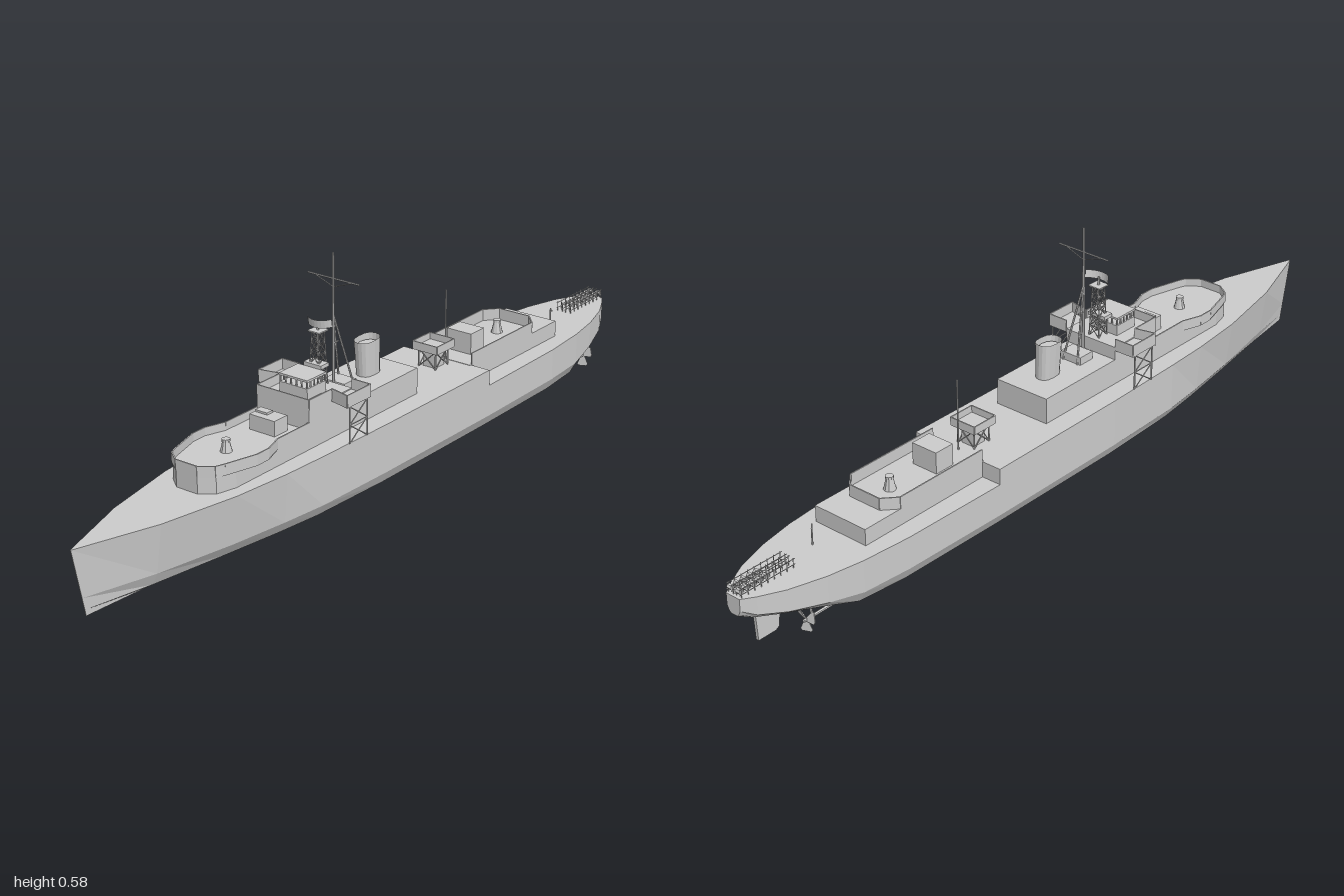
import * as THREE from 'three';

const mat = new THREE.MeshStandardMaterial({ color: 0xcccccc, flatShading: true, side: THREE.DoubleSide });
const V = (x, y, z) => new THREE.Vector3(x, y, z);

function add(parent, name, geo, x = 0, y = 0, z = 0) {
  const m = new THREE.Mesh(geo, mat);
  m.name = name;
  m.position.set(x, y, z);
  parent.add(m);
  return m;
}
function group(parent, name) {
  const g = new THREE.Group();
  g.name = name;
  parent.add(g);
  return g;
}
// box given by its extents
function block(parent, name, x0, x1, y0, y1, z0, z1) {
  return add(parent, name, new THREE.BoxGeometry(x1 - x0, y1 - y0, z1 - z0), (x0 + x1) / 2, (y0 + y1) / 2, (z0 + z1) / 2);
}
// round bar between two points
function bar(parent, name, a, b, r = 0.0015, r2 = r) {
  const d = b.clone().sub(a);
  const m = add(parent, name, new THREE.CylinderGeometry(r2, r, d.length(), 6));
  m.position.copy(a).add(b).multiplyScalar(0.5);
  m.quaternion.setFromUnitVectors(V(0, 1, 0), d.normalize());
  return m;
}
const mirror = (half) => [...half, ...half.map(([x, z]) => [-x, z]).reverse()];

// vertical prism over an [x, z] outline
function prism(parent, name, pts, y0, y1) {
  const shape = new THREE.Shape(pts.map(([x, z]) => new THREE.Vector2(x, -z)));
  const geo = new THREE.ExtrudeGeometry(shape, { depth: y1 - y0, bevelEnabled: false });
  return add(parent, name, geo.rotateX(-Math.PI / 2), 0, y0, 0);
}
// thin wall following an [x, z] path
function bulwark(parent, name, pts, y0, y1) {
  const g = group(parent, name);
  for (let i = 0; i < pts.length - 1; i++) {
    const [ax, az] = pts[i], [bx, bz] = pts[i + 1];
    const len = Math.hypot(bx - ax, bz - az);
    const m = add(g, 'wallPanel', new THREE.BoxGeometry(len, y1 - y0, 0.003), (ax + bx) / 2, (y0 + y1) / 2, (az + bz) / 2);
    m.rotation.y = -Math.atan2(bz - az, bx - ax);
  }
}
// crossed bracing between two upright edges
function lattice(parent, a0, a1, b0, b1, bays, r) {
  bar(parent, 'leg', a0, a1, r);
  bar(parent, 'leg', b0, b1, r);
  for (let i = 0; i < bays; i++) {
    const [s, t] = [i / bays, (i + 1) / bays];
    const p = a0.clone().lerp(a1, s), q = a0.clone().lerp(a1, t);
    const u = b0.clone().lerp(b1, s), v = b0.clone().lerp(b1, t);
    bar(parent, 'brace', p, v, r * 0.7);
    bar(parent, 'brace', u, q, r * 0.7);
    bar(parent, 'crossbar', q, v, r * 0.7);
  }
}
function latticeTower(parent, name, z, y0, y1, h0, h1, bays, r) {
  const g = group(parent, name);
  const c = [[1, 1], [1, -1], [-1, -1], [-1, 1]];
  c.forEach(([x, k], i) => {
    const [x2, k2] = c[(i + 1) % 4];
    lattice(g, V(x * h0, y0, z + k * h0), V(x * h1, y1, z + k * h1),
      V(x2 * h0, y0, z + k2 * h0), V(x2 * h1, y1, z + k2 * h1), bays, r);
  });
}
// hull from sections: z, deckWidth, chineWidth, chineY, bilgeWidth, bilgeY, bottomWidth, bottomY, rake
function hull(parent, name, rows, deckY) {
  const rings = rows.map(([z, w, cw, cy, bw, by, kw, ky, rake = 0]) => {
    const half = [[w, deckY], [cw, cy], [bw, by], [kw, ky]];
    return [...half, ...half.map(([x, y]) => [-x, y]).reverse()].map(([x, y]) => [x, y, z - rake * (deckY - y)]);
  });
  const pos = [], tri = (...p) => p.forEach((q) => pos.push(...q));
  for (let i = 0; i < rings.length - 1; i++) {
    for (let j = 0; j < 8; j++) {
      const k = (j + 1) % 8, A = rings[i], B = rings[i + 1];
      tri(A[j], A[k], B[k]);
      tri(A[j], B[k], B[j]);
    }
  }
  const F = rings[0], L = rings[rings.length - 1];
  for (let j = 1; j < 7; j++) {
    tri(F[0], F[j + 1], F[j]);
    tri(L[0], L[j], L[j + 1]);
  }
  const geo = new THREE.BufferGeometry();
  geo.setAttribute('position', new THREE.Float32BufferAttribute(pos, 3));
  geo.computeVertexNormals();
  add(parent, name, geo);
}
function gunMount(parent, name, y, z) {
  const g = group(parent, name);
  add(g, 'gunPedestal', new THREE.CylinderGeometry(0.008, 0.015, 0.03, 10), 0, y + 0.015, z);
  add(g, 'gunCap', new THREE.CylinderGeometry(0.01, 0.01, 0.006, 10), 0, y + 0.031, z);
}

export function createModel() {
  const ship = new THREE.Group();
  ship.name = 'warship';

  // hull with a raised forward deck and a lower after deck
  const step = [-0.31, 0.129, 0.129, 0.06, 0.113, 0.03, 0.085, 0.015];
  hull(ship, 'forwardHull', [
    [1, 0.001, 0.001, 0.06, 0.001, 0.03, 0.001, 0.015, 0.21],
    [0.8, 0.066, 0.05, 0.06, 0.036, 0.03, 0.014, 0.015],
    [0.6, 0.104, 0.088, 0.06, 0.068, 0.03, 0.035, 0.015],
    [0.45, 0.118, 0.109, 0.06, 0.09, 0.03, 0.06, 0.015],
    [0.33, 0.123, 0.122, 0.06, 0.104, 0.03, 0.075, 0.015],
    [0.1, 0.128, 0.128, 0.06, 0.113, 0.03, 0.085, 0.015], step], 0.18);
  hull(ship, 'afterHull', [step,
    [-0.6, 0.124, 0.124, 0.06, 0.109, 0.03, 0.08, 0.015],
    [-0.73, 0.113, 0.113, 0.06, 0.096, 0.03, 0.068, 0.017],
    [-0.82, 0.097, 0.097, 0.073, 0.08, 0.056, 0.052, 0.045],
    [-0.91, 0.07, 0.07, 0.085, 0.056, 0.075, 0.035, 0.068],
    [-0.97, 0.04, 0.04, 0.095, 0.03, 0.085, 0.02, 0.08],
    [-1, 0.02, 0.02, 0.11, 0.015, 0.1, 0.01, 0.094]], 0.14);
  block(ship, 'skeg', -0.003, 0.003, 0.014, 0.05, -0.82, -0.7);

  // forward deckhouse and gun tub
  prism(ship, 'forwardHouse', mirror([[0.03, 0.645], [0.062, 0.62], [0.075, 0.57], [0.075, 0.16]]), 0.18, 0.222);
  const tub = [[0.075, 0.32], [0.075, 0.43], [0.092, 0.48], [0.092, 0.52], [0.07, 0.6], [0.062, 0.622], [0.03, 0.645]];
  prism(ship, 'gunTubFloor', mirror(tub), 0.218, 0.226);
  bulwark(ship, 'gunTubBulwark', mirror(tub), 0.222, 0.246);
  gunMount(ship, 'forwardGun', 0.222, 0.515);
  block(ship, 'readyLocker', -0.036, 0.036, 0.222, 0.263, 0.348, 0.393);
  block(ship, 'lockerHatch', -0.034, 0, 0.263, 0.268, 0.355, 0.375);

  // bridge
  block(ship, 'bridgeBlock', -0.075, 0.075, 0.18, 0.278, 0.165, 0.32);
  bulwark(ship, 'bridgeBulwark', [[0.075, 0.24], [0.075, 0.319], [-0.075, 0.319], [-0.075, 0.24]], 0.275, 0.3);
  for (const s of [-1, 1]) {
    const wing = [[s * 0.075, 0.238], [s * 0.128, 0.25], [s * 0.128, 0.165], [s * 0.075, 0.165]];
    prism(ship, 'bridgeWing', wing, 0.27, 0.275);
    bulwark(ship, 'bridgeWingBulwark', wing, 0.27, 0.301);
    lattice(group(ship, 'wingSupport'), V(s * 0.127, 0.18, 0.24), V(s * 0.127, 0.27, 0.24),
      V(s * 0.127, 0.18, 0.175), V(s * 0.127, 0.27, 0.175), 2, 0.002);
  }
  // wheelhouse with open windows
  const wheel = group(ship, 'wheelhouse');
  block(wheel, 'wheelhouseBase', -0.04, 0.04, 0.278, 0.304, 0.215, 0.282);
  block(wheel, 'wheelhouseRoof', -0.041, 0.041, 0.32, 0.325, 0.214, 0.283);
  for (let i = 0; i < 6; i++) {
    const t = i / 5;
    for (const s of [0, 1]) {
      block(wheel, 'windowPost', -0.04 + t * 0.077, -0.037 + t * 0.077, 0.302, 0.321, 0.215 + s * 0.064, 0.218 + s * 0.064);
      block(wheel, 'windowPost', -0.04 + s * 0.077, -0.037 + s * 0.077, 0.302, 0.321, 0.215 + t * 0.064, 0.218 + t * 0.064);
    }
  }

  // lattice radar tower
  latticeTower(ship, 'radarTower', 0.192, 0.278, 0.408, 0.015, 0.01, 5, 0.0015);
  block(ship, 'towerStep', -0.025, 0.025, 0.325, 0.334, 0.185, 0.214);
  block(ship, 'towerPlatform', -0.017, 0.017, 0.407, 0.41, 0.175, 0.209);
  bar(ship, 'radarPost', V(0, 0.41, 0.192), V(0, 0.43, 0.192), 0.003);
  const dish = add(ship, 'radarReflector', new THREE.CylinderGeometry(0.04, 0.04, 0.02, 10, 1, true, -1.05, 2.1), 0, 0.434, 0.165);
  dish.rotation.x = 0.15;

  // tripod mast with yard
  const mast = group(ship, 'mast');
  bar(mast, 'mastPole', V(0, 0.245, 0.137), V(0, 0.578, 0.135), 0.004, 0.0025);
  bar(mast, 'yard', V(-0.073, 0.516, 0.135), V(0.073, 0.516, 0.135), 0.002);
  for (const s of [-1, 1]) {
    bar(mast, 'yardBrace', V(s * 0.052, 0.515, 0.135), V(0, 0.496, 0.135), 0.0012);
    bar(mast, 'mastLeg', V(s * 0.022, 0.245, 0.088), V(0, 0.43, 0.136), 0.0025);
  }
  bar(mast, 'mastStay', V(0, 0.36, 0.137), V(0, 0.36, 0.118), 0.002);

  // amidships deckhouse and funnel
  block(ship, 'midHouse', -0.075, 0.075, 0.18, 0.245, -0.087, 0.165);
  block(ship, 'midLocker', -0.03, 0.03, 0.245, 0.265, 0.09, 0.135);
  const funnel = new THREE.CylinderGeometry(0.024, 0.021, 0.088, 16, 1, true);
  const fp = funnel.attributes.position;
  for (let i = 0; i < fp.count; i++) {
    const t = fp.getY(i) / 0.088 + 0.5, z = fp.getZ(i);
    fp.setZ(i, Math.sign(z) * Math.pow(Math.abs(z) / 0.024, 0.6) * 0.035 + t * 0.004);
    fp.setY(i, fp.getY(i) - t * z * 0.08);
  }
  funnel.computeVertexNormals();
  add(ship, 'funnel', funnel, 0, 0.289, 0.006);
  add(ship, 'funnelInside', new THREE.CylinderGeometry(0.021, 0.021, 0.002, 12), 0, 0.318, 0.008).scale.z = 1.4;

  // small raised platform on trestle legs
  latticeTower(ship, 'trestle', -0.255, 0.18, 0.226, 0.025, 0.025, 1, 0.002);
  block(ship, 'trestleCore', -0.018, 0.018, 0.18, 0.226, -0.275, -0.238);
  block(ship, 'trestleFloor', -0.036, 0.036, 0.224, 0.229, -0.291, -0.22);
  bulwark(ship, 'trestleBulwark', [[0.036, -0.22], [0.036, -0.291], [-0.036, -0.291], [-0.036, -0.22], [0.036, -0.22]], 0.226, 0.246);
  bar(ship, 'aerialPole', V(0, 0.18, -0.306), V(0, 0.36, -0.306), 0.002);

  // after deckhouse and gun tub
  block(ship, 'afterHouse', -0.076, 0.076, 0.14, 0.181, -0.685, -0.305);
  bulwark(ship, 'afterBulwark', mirror([[0.075, -0.31], [0.075, -0.575], [0.045, -0.608]]), 0.18, 0.211);
  block(ship, 'afterLocker', -0.036, 0.036, 0.18, 0.235, -0.418, -0.363);
  gunMount(ship, 'afterGun', 0.181, -0.53);

  // davit and stern racks
  bar(ship, 'davitPost', V(0.015, 0.14, -0.755), V(0.015, 0.18, -0.755), 0.002);
  bar(ship, 'davitArm', V(0.015, 0.176, -0.755), V(0.028, 0.18, -0.742), 0.002);
  for (const s of [-1, 1]) {
    const rack = group(ship, 'sternRack');
    for (const x of [0.005, 0.02])
      for (const y of [0.148, 0.162]) bar(rack, 'rackRail', V(s * x, y, -0.84), V(s * x, y, -0.998), 0.001);
    for (let i = 0; i < 9; i++) {
      const z = -0.845 - i * 0.0185;
      for (const x of [0.005, 0.02]) bar(rack, 'rackPost', V(s * x, 0.14, z), V(s * x, 0.165, z), 0.001);
      if (i > 3) bar(rack, 'rackDrum', V(s * 0.006, 0.154, z), V(s * 0.019, 0.154, z), 0.006);
    }
  }

  // rudder, shafts and propellers
  prism(ship, 'rudder', [[0.085, -0.95], [0.085, -0.875], [0.012, -0.885], [0.006, -0.895], [0.006, -0.945]], -0.004, 0.004).rotation.z = Math.PI / 2;
  for (const s of [-1, 1]) {
    const x = s * 0.058;
    bar(ship, 'propellerShaft', V(x, 0.03, -0.7), V(x, 0.03, -0.86), 0.004);
    bar(ship, 'shaftStrut', V(x, 0.03, -0.835), V(s * 0.045, 0.07, -0.83), 0.003);
    const prop = group(ship, 'propeller');
    prop.position.set(x, 0.03, -0.853);
    const blade = new THREE.Shape([[-0.004, 0], [0.004, 0], [0.014, -0.025], [0.01, -0.03], [-0.01, -0.03], [-0.014, -0.025]].map((p) => new THREE.Vector2(...p)));
    for (let i = 0; i < 3; i++) {
      const b = add(prop, 'blade', new THREE.ExtrudeGeometry(blade, { depth: 0.002, bevelEnabled: false }).rotateY(0.4));
      b.rotation.z = (i * Math.PI * 2) / 3;
    }
  }
  return ship;
}
